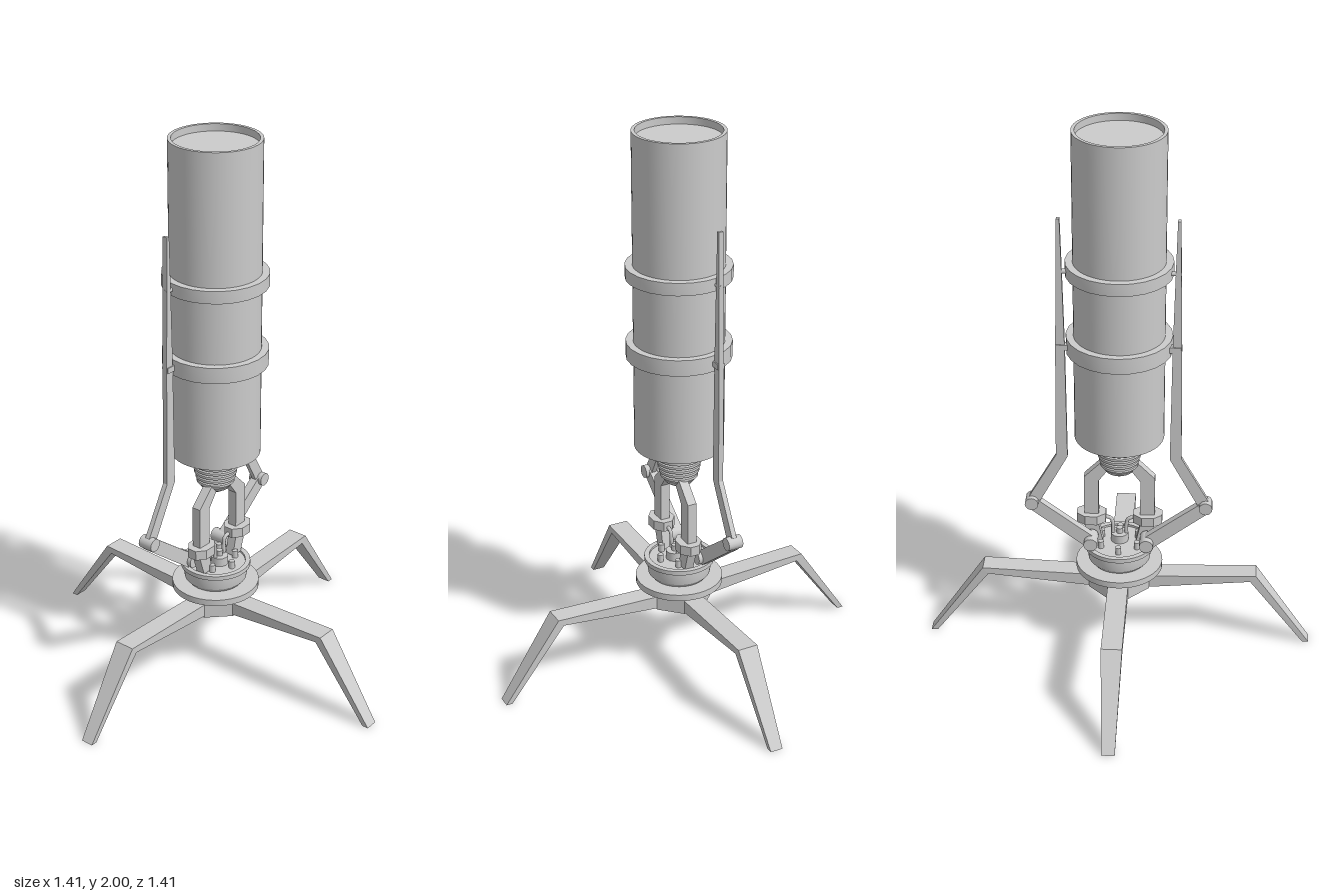
import * as THREE from 'three';
import { toCreasedNormals } from 'three/addons/utils/BufferGeometryUtils.js';

const grey = new THREE.MeshStandardMaterial({ color: 0xcccccc, side: THREE.DoubleSide });

function add(parent, name, geometry, x = 0, y = 0, z = 0) {
  const mesh = new THREE.Mesh(geometry, grey);
  mesh.name = name;
  mesh.position.set(x, y, z);
  parent.add(mesh);
  return mesh;
}

// Turned part from [radius, height] points listed bottom to top
function turned(points, sides = 40) {
  const profile = points.map(([r, y]) => new THREE.Vector2(r, y));
  return toCreasedNormals(new THREE.LatheGeometry(profile, sides), 0.55);
}

// Flat plate from an x-y outline, centred on z = 0
function plate(points, depth, side = 1) {
  const shape = new THREE.Shape(points.map(([x, y]) => new THREE.Vector2(x * side, y)));
  return new THREE.ExtrudeGeometry(shape, { depth, bevelEnabled: false }).translate(0, 0, -depth / 2);
}

// Pin lying along z
const pin = (r, length, sides = 16) => new THREE.CylinderGeometry(r, r, length, sides).rotateX(Math.PI / 2);

function makeLeg() {
  const leg = new THREE.Group();
  leg.name = 'leg';
  add(leg, 'legBeam', plate([[0.1, 0.235], [0.48, 0.272], [0.5, 0.297], [0.1, 0.283]], 0.074));
  const shin = plate([[0.48, 0.272], [0.682, 0], [0.705, 0], [0.5, 0.297]], 0.074);
  const p = shin.attributes.position;
  for (let i = 0; i < p.count; i++) if (p.getX(i) > 0.6) p.setZ(i, p.getZ(i) * 0.62);
  shin.computeVertexNormals();
  add(leg, 'legShin', shin);
  return leg;
}

// Jointed side arm, its clips, the support post and the hose for one side
function makeSide(s) {
  const side = new THREE.Group();
  side.name = s > 0 ? 'leftSupport' : 'rightSupport';
  const z = -0.045;
  add(side, 'upperArm', plate([
    [0.195, 1.705], [0.206, 1.705], [0.21, 1.5], [0.216, 1.23], [0.221, 0.8],
    [0.328, 0.61], [0.29, 0.59], [0.18, 0.795], [0.184, 1.23], [0.19, 1.5],
  ], 0.018, s), 0, 0, z);
  add(side, 'lowerArm', plate([
    [0.296, 0.62], [0.325, 0.582], [0.118, 0.42], [0.085, 0.46],
  ], 0.03, s), 0, 0, z);
  add(side, 'elbowPin', pin(0.024, 0.055), s * 0.31, 0.603, z);
  add(side, 'shoulderPin', pin(0.025, 0.07), s * 0.1, 0.443, -0.05);
  add(side, 'upperClip', new THREE.CylinderGeometry(0.008, 0.008, 0.035, 10).rotateZ(Math.PI / 2), s * 0.193, 1.513, z);
  add(side, 'lowerClip', new THREE.BoxGeometry(0.04, 0.02, 0.026), s * 0.193, 1.23, z);

  add(side, 'post', plate([
    [0.035, 0.72], [0.06, 0.748], [0.127, 0.68], [0.127, 0.48], [0.105, 0.41],
    [0.06, 0.41], [0.075, 0.48], [0.075, 0.665],
  ], 0.034, s), 0, 0, 0.016);
  const block = new THREE.CylinderGeometry(0.054, 0.054, 0.036, 8, 1).rotateY(Math.PI / 8).scale(1.05, 1, 0.84);
  block.computeVertexNormals();
  add(side, 'postClamp', toCreasedNormals(block, 0.4), s * 0.102, 0.508, 0.018);

  const path = new THREE.CatmullRomCurve3([
    [0.025, 0.41], [0.025, 0.475], [0.032, 0.497], [0.065, 0.505],
  ].map(([x, y]) => new THREE.Vector3(x * s, y, 0.018)));
  add(side, 'hose', new THREE.TubeGeometry(path, 16, 0.007, 8));
  return side;
}

export function createModel() {
  const model = new THREE.Group();
  model.name = 'cylinderStand';

  // Tank with a shallow rimmed top
  add(model, 'tank', turned([[0, 0.86], [0.158, 0.86], [0.158, 2], [0.146, 2], [0.146, 1.975], [0, 1.975]], 48));
  for (const [y, h] of [[1.513, 0.045], [1.23, 0.058]]) {
    const [a, b] = [y - h / 2, y + h / 2];
    add(model, 'band', turned([[0.156, a], [0.184, a], [0.184, b], [0.156, b]], 24));
  }

  // Ribbed neck narrowing to a blunt nose
  const neck = [[0, 0.7], [0.025, 0.702], [0.05, 0.718], [0.062, 0.735]];
  for (let i = 0; i < 5; i++) {
    const r = 0.068 + i * 0.004, y = 0.738 + i * 0.018;
    neck.push([r - 0.01, y], [r, y + 0.003], [r, y + 0.012], [r - 0.01, y + 0.015]);
  }
  neck.push([0.09, 0.828], [0.09, 0.862]);
  add(model, 'neck', turned(neck));

  // Stepped turntable
  add(model, 'turntable', turned([
    [0, 0.27], [0.095, 0.27], [0.095, 0.31], [0.157, 0.31], [0.157, 0.334],
    [0.098, 0.334], [0.112, 0.35], [0.115, 0.372], [0.115, 0.395], [0.126, 0.397],
    [0.126, 0.413], [0.108, 0.413], [0.108, 0.405], [0, 0.405],
  ]));

  // Small fittings on top of the turntable
  add(model, 'centreFitting', new THREE.CylinderGeometry(0.032, 0.032, 0.034, 12), 0, 0.42, 0.018);
  add(model, 'centreStud', new THREE.CylinderGeometry(0.012, 0.012, 0.055, 10), 0, 0.43, 0.018);
  for (let i = 0; i < 6; i++) {
    const a = (i + 0.5) * Math.PI / 3;
    add(model, 'stud', new THREE.CylinderGeometry(0.011, 0.011, 0.03, 10), Math.cos(a) * 0.075, 0.418, Math.sin(a) * 0.075);
  }

  for (const s of [1, -1]) model.add(makeSide(s));

  // Eight-sided hub and four splayed legs
  const [a, b] = [0.11, 0.037];
  const outline = [[a, -b], [a, b], [b, a], [-b, a], [-a, b], [-a, -b], [-b, -a], [b, -a]];
  add(model, 'hub', plate(outline, 0.055).rotateX(Math.PI / 2), 0, 0.258, 0);
  for (let i = 0; i < 4; i++) {
    const leg = makeLeg();
    leg.rotation.y = i * Math.PI / 2;
    model.add(leg);
  }
  return model;
}
